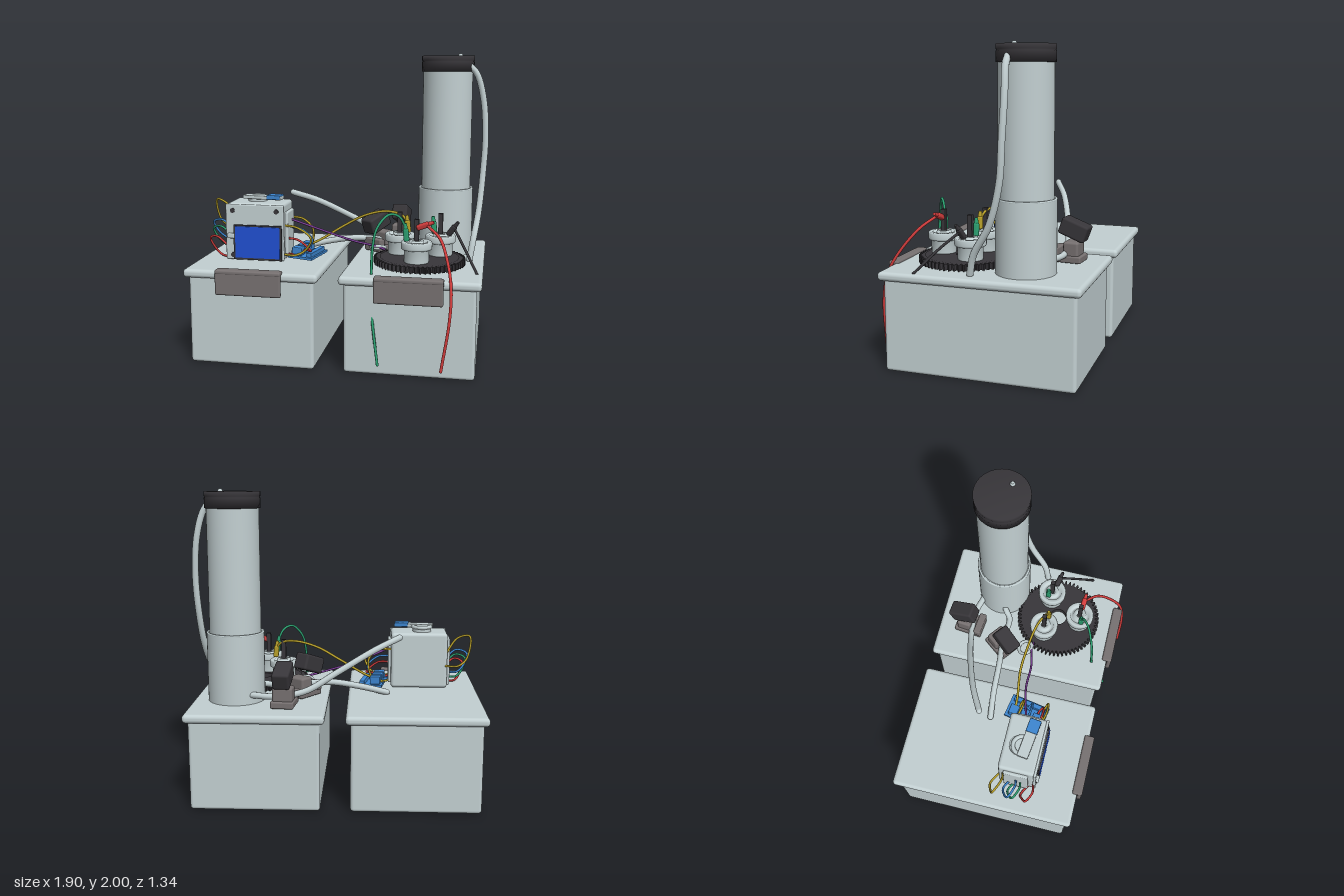
import * as THREE from 'three';
import { RoundedBoxGeometry } from 'three/addons/geometries/RoundedBoxGeometry.js';

const material = (name, color) => Object.assign(new THREE.MeshStandardMaterial({ color }), { name });

export function createModel() {
  const pale = material('pale plastic', 0xc3d0d2);
  const black = material('black plastic', 0x38363a);
  const grey = material('warm grey', 0x777171);
  const screenBlue = material('screen blue', 0x2150d2);
  const blue = material('board blue', 0x3d87d2);
  const red = material('red', 0xd03c3c);
  const green = material('green', 0x2c9f70);
  const yellow = material('yellow', 0xb8a02a);
  const purple = material('purple', 0x7c3f98);

  const model = new THREE.Group();

  const add = (name, geometry, mat, [x, y, z], parent = model) => {
    const mesh = new THREE.Mesh(geometry, mat);
    mesh.name = name;
    mesh.position.set(x, y, z);
    parent.add(mesh);
    return mesh;
  };
  const box = (name, mat, size, pos, round = 0, parent = model) =>
    add(name, round ? new RoundedBoxGeometry(...size, 3, round) : new THREE.BoxGeometry(...size), mat, pos, parent);
  const cylinder = (name, mat, r, h, pos, parent = model, r2 = r, sides = 48) =>
    add(name, new THREE.CylinderGeometry(r2, r, h, sides), mat, pos, parent);
  const group = (name, x, y, z, parent = model) => {
    const g = new THREE.Group();
    g.name = name;
    g.position.set(x, y, z);
    parent.add(g);
    return g;
  };
  // Round cable or hose through a few points, with closed ends
  const cable = (name, mat, r, points, parent = model) => {
    const pts = points.map(p => new THREE.Vector3(...p));
    const curve = new THREE.CatmullRomCurve3(pts);
    add(name, new THREE.TubeGeometry(curve, 40, r, 10), mat, [0, 0, 0], parent);
    for (const p of [pts[0], pts[pts.length - 1]])
      add(name + 'End', new THREE.SphereGeometry(r, 10, 6), mat, p.toArray(), parent);
  };

  // Two lidded tubs with a front latch
  for (const x of [-0.51, 0.505]) {
    const tub = group('tub', x, 0, -0.035);
    box('tubBody', pale, [0.825, 0.6, 1.21], [0, 0.3, 0], 0.022, tub);
    box('tubLid', pale, [0.885, 0.056, 1.27], [0, 0.602, 0], 0.024, tub);
    box('latchTop', grey, [0.43, 0.03, 0.07], [0, 0.63, 0.635], 0.012, tub);
    box('latchPlate', grey, [0.43, 0.16, 0.03], [0, 0.56, 0.653], 0.012, tub);
  }

  // Tall column with cap
  const column = group('column', 0.665, 0, -0.26);
  cylinder('columnSleeve', pale, 0.187, 0.45, [0, 0.855, 0], column);
  add('sleeveRim', new THREE.TorusGeometry(0.18, 0.008, 8, 48).rotateX(Math.PI / 2), pale, [0, 1.08, 0], column);
  cylinder('columnTube', pale, 0.168, 0.82, [0, 1.48, 0], column);
  const capProfile = [[0, 1.88], [0.178, 1.88], [0.178, 1.945], [0.172, 1.95], [0.178, 1.955], [0.178, 1.985], [0, 1.985]]
    .map(p => new THREE.Vector2(...p));
  add('columnCap', new THREE.LatheGeometry(capProfile, 48), black, [0, 0, 0], column);
  cylinder('capNipple', pale, 0.02, 0.02, [0.085, 1.99, 0.045], column, 0.01, 16);

  // Toothed carousel with a centre hole
  const gearShape = new THREE.Shape();
  const teeth = 60;
  for (let i = 0; i < teeth * 4; i++) {
    const a = (i / (teeth * 4)) * Math.PI * 2;
    const r = i % 4 < 2 ? 0.3 : 0.275;
    gearShape[i ? 'lineTo' : 'moveTo'](r * Math.cos(a), r * Math.sin(a));
  }
  gearShape.closePath();
  gearShape.holes.push(new THREE.Path().absarc(0, 0, 0.06, 0, Math.PI * 2, true));
  add('carouselGear', new THREE.ExtrudeGeometry(gearShape, { depth: 0.04, bevelEnabled: false, curveSegments: 24 })
    .rotateX(-Math.PI / 2), black, [0.53, 0.64, 0.18]);
  add('carouselRim', new THREE.RingGeometry(0.065, 0.26, 48).rotateX(-Math.PI / 2), black, [0.53, 0.683, 0.18]);

  // Sample jars, each with a centre rod
  const jarProfile = [[0, 0.68], [0.076, 0.68], [0.08, 0.69], [0.08, 0.765], [0.097, 0.77], [0.1, 0.78], [0.1, 0.81],
    [0.094, 0.818], [0.07, 0.818], [0.065, 0.8], [0.05, 0.8], [0.045, 0.825], [0.025, 0.825], [0.02, 0.81], [0, 0.81]]
    .map(p => new THREE.Vector2(...p));
  for (const [x, z] of [[0.39, 0.1], [0.66, 0.1], [0.525, 0.335]]) {
    const jar = group('jar', x, 0, z);
    add('jarBody', new THREE.LatheGeometry(jarProfile, 36), pale, [0, 0, 0], jar);
    box('jarRod', black, [0.03, 0.15, 0.03], [0, 0.885, 0], 0, jar);
  }

  // Clips gripping the jar rods: position, tilt about x and z
  const clip = (name, mat, pos, rx, rz) => {
    const g = group(name, ...pos);
    g.rotation.set(rx, 0, rz);
    box('clipGrip', mat, [0.036, 0.085, 0.036], [0, 0, 0], 0.012, g);
    cylinder('clipBoot', mat, 0.015, 0.04, [0, 0.055, 0], g, 0.01, 12);
  };
  clip('greenClip', green, [0.46, 0.86, 0.355], 0, 0.1);
  clip('greenClip', green, [0.615, 0.86, 0.08], 0, 0.1);
  clip('redClip', red, [0.565, 0.92, 0.345], 0.2, -1.2);
  clip('blackClip', black, [0.735, 0.855, 0.13], 0.3, -0.6);
  clip('yellowClip', yellow, [0.445, 0.87, 0.12], 0, 0.1);

  // Loose leads from the clips
  cable('greenLead', green, 0.0085, [[0.455, 0.91, 0.355], [0.42, 0.98, 0.38], [0.36, 1.0, 0.42], [0.29, 0.92, 0.46],
    [0.265, 0.8, 0.48], [0.26, 0.62, 0.495], [0.265, 0.48, 0.535], [0.28, 0.34, 0.57], [0.32, 0.085, 0.622]]);
  cable('redLead', red, 0.0095, [[0.6, 0.92, 0.36], [0.68, 0.86, 0.43], [0.74, 0.72, 0.54], [0.765, 0.58, 0.615],
    [0.76, 0.4, 0.65], [0.715, 0.085, 0.66]]);
  cable('blackLead', black, 0.0085, [[0.75, 0.87, 0.13], [0.82, 0.77, 0.24], [0.91, 0.63, 0.37]]);
  cable('yellowLead', yellow, 0.0085, [[-0.3, 0.68, 0.04], [-0.18, 0.73, 0.04], [0, 0.84, 0.02], [0.15, 0.92, 0.035],
    [0.3, 0.955, 0.06], [0.41, 0.935, 0.1], [0.445, 0.88, 0.12]]);
  cable('purpleLead', purple, 0.0075, [[-0.36, 0.9, 0.15], [-0.26, 0.86, 0.12], [-0.1, 0.8, 0.085], [0.08, 0.745, 0.08],
    [0.22, 0.71, 0.05], [0.28, 0.69, 0.05]]);

  // Hoses
  cable('columnHose', pale, 0.022, [[0.8, 1.93, -0.2], [0.86, 1.87, -0.2], [0.91, 1.7, -0.21], [0.93, 1.45, -0.2],
    [0.92, 1.2, -0.18], [0.9, 0.95, -0.11], [0.87, 0.76, 0], [0.85, 0.64, 0.03]]);
  cable('upperHose', pale, 0.021, [[-0.41, 1.03, -0.165], [-0.25, 0.965, -0.25], [0, 0.83, -0.345], [0.2, 0.72, -0.4],
    [0.4, 0.69, -0.425], [0.56, 0.69, -0.39]]);
  cable('lowerHose', pale, 0.021, [[-0.33, 0.645, -0.12], [-0.15, 0.69, -0.14], [0.05, 0.72, -0.15], [0.25, 0.71, -0.17],
    [0.42, 0.7, -0.165], [0.48, 0.72, -0.21], [0.54, 0.72, -0.23]]);
  const loop = add('hoseLoop', new THREE.TorusGeometry(0.05, 0.012, 10, 28), pale, [0.23, 0.69, 0.0]);
  loop.rotation.x = 1.2;

  // Two small pumps: grey base, black motor leaning over it
  for (const [x, z, turn] of [[0.33, -0.44, -0.1], [0.23, -0.18, -0.65]]) {
    const pump = group('pump', x, 0.63, z);
    pump.rotation.y = turn;
    box('pumpBase', grey, [0.15, 0.045, 0.2], [0, 0.03, 0], 0.01, pump);
    box('pumpHead', grey, [0.13, 0.1, 0.1], [0, 0.09, -0.03], 0.015, pump);
    box('pumpFoot', grey, [0.16, 0.06, 0.05], [0, 0.07, 0.075], 0.01, pump);
    const motor = box('pumpMotor', black, [0.11, 0.11, 0.18], [0, 0.215, -0.02], 0.015, pump);
    motor.rotation.x = turn < -0.5 ? 0.35 : -0.35;
    motor.position.z = turn < -0.5 ? 0.06 : -0.04;
  }

  // Controller housing with screen
  const unit = group('controller', -0.555, 0, 0.17);
  box('housing', pale, [0.39, 0.385, 0.25], [0, 0.825, 0], 0.022, unit);
  box('facePlate', pale, [0.4, 0.375, 0.02], [0, 0.825, 0.127], 0.009, unit);
  box('sidePlate', pale, [0.03, 0.33, 0.17], [-0.2, 0.81, 0], 0.01, unit);
  box('sidePlate', pale, [0.03, 0.3, 0.17], [0.2, 0.81, 0], 0.01, unit);
  box('sideTab', pale, [0.05, 0.035, 0.03], [-0.16, 0.8, 0.14], 0.008, unit);
  box('screenFrame', black, [0.33, 0.235, 0.02], [0.022, 0.758, 0.138], 0, unit);
  box('screen', screenBlue, [0.305, 0.212, 0.008], [0.022, 0.76, 0.149], 0, unit);
  for (const [x, y] of [[-0.15, 0.97], [0.15, 0.97], [-0.15, 0.67]])
    cylinder('screw', black, 0.016, 0.008, [x, y, 0.139], unit, 0.016, 20).rotation.x = Math.PI / 2;

  // Switch arm on the controller's top
  cylinder('armBoss', pale, 0.065, 0.025, [-0.02, 1.025, -0.02], unit);
  const hook = add('armHook', new THREE.TorusGeometry(0.06, 0.014, 10, 24, Math.PI).rotateX(-Math.PI / 2), pale,
    [-0.02, 1.045, 0], unit);
  hook.rotation.y = -0.12;
  const arm = group('switchArm', 0.035, 1.05, 0.035, unit);
  arm.rotation.y = -0.12;
  box('armBar', pale, [0.27, 0.025, 0.075], [0, 0, 0], 0.006, arm);
  box('armSlider', blue, [0.095, 0.03, 0.08], [0.085, 0.005, 0], 0.006, arm);

  // Relay board beside the controller
  const board = group('relayBoard', -0.235, 0.655, 0.125);
  board.rotation.set(0, -0.17, -0.05);
  box('boardPlate', blue, [0.17, 0.016, 0.28], [0, 0, 0], 0, board);
  for (const z of [-0.085, 0, 0.085])
    box('relay', blue, [0.07, 0.055, 0.065], [-0.035, 0.035, z], 0.006, board);
  box('terminalStrip', blue, [0.035, 0.03, 0.24], [0.055, 0.02, 0], 0.004, board);

  // Wire loops at both sides of the controller
  const wires = [[yellow, 0.01, 0.92], [blue, 0.1, 0.86], [green, 0.13, 0.82], [red, 0.22, 0.77]];
  wires.forEach(([mat, z, y], i) => {
    const reach = -0.9 + i * 0.008;
    const lift = i ? 0.04 : 0.08;
    cable('leftWire', mat, 0.0075, [[-0.74, y - 0.05, z + 0.07], [-0.82, y + lift - 0.02, z + 0.08],
      [reach, i ? y : 1.0, z + 0.05], [reach + 0.02, y - 0.07, z + 0.02], [-0.82, y - 0.12, z], [-0.74, y - 0.13, z + 0.04]]);
  });
  [[yellow, 0.08, 0.9], [blue, 0.14, 0.84], [red, 0.22, 0.78], [yellow, 0.25, 0.87]].forEach(([mat, z, y], i) => {
    cable('rightWire', mat, 0.0075, [[-0.36, y, z], [-0.27, y - 0.01, z + 0.02], [-0.205 + i * 0.008, y - 0.08, z + 0.015],
      [-0.23, 0.7, z - 0.01], [-0.29, 0.67, z], [-0.37, 0.68, z + 0.03]]);
  });

  return model;
}
